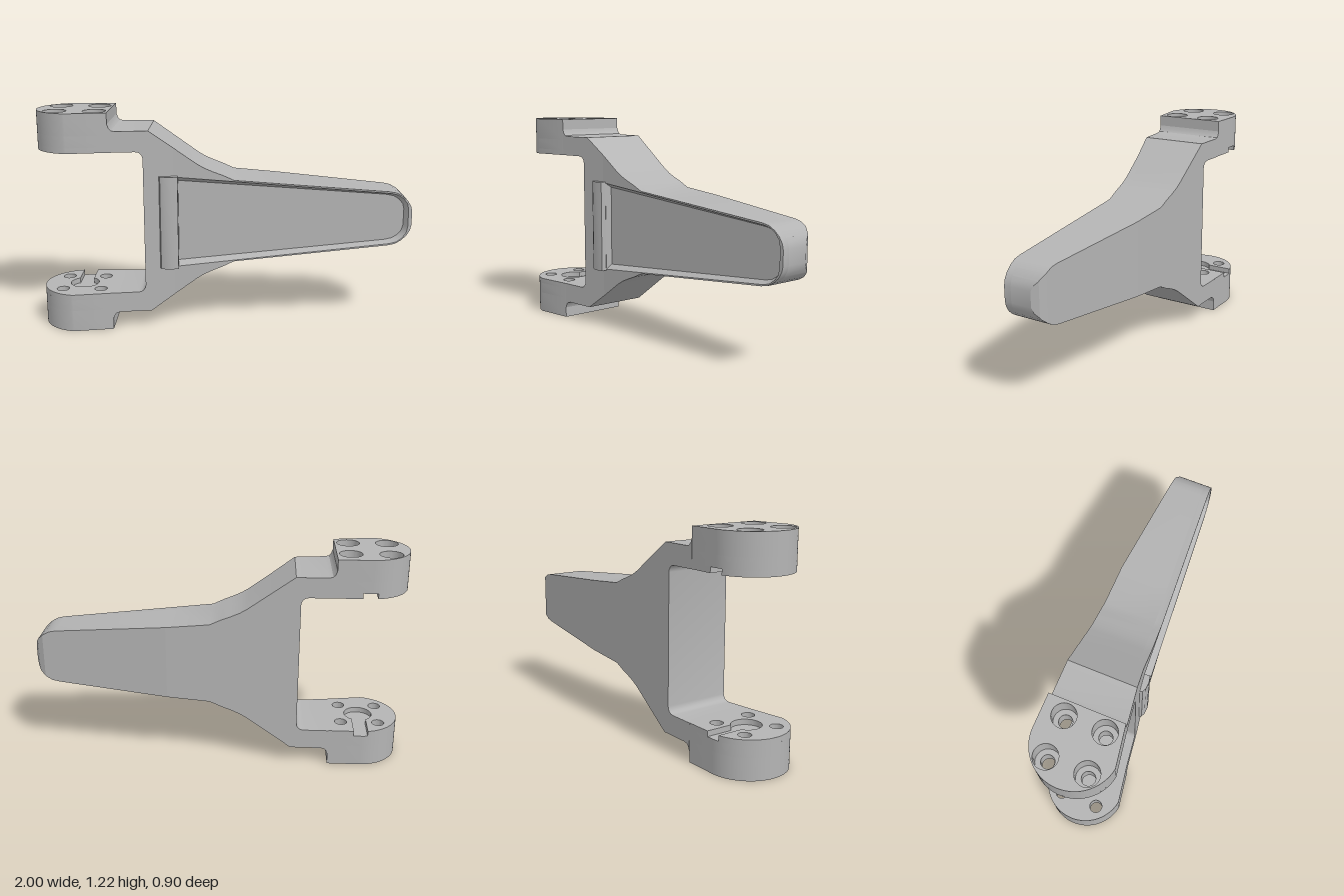
import * as THREE from 'three';
import { toCreasedNormals } from 'three/addons/utils/BufferGeometryUtils.js';

const MID = 0.61; // height of the symmetry plane
const DEPTH = 0.04; // depth of the front pocket
const BEND = -0.284; // station where the front face bends

// Piecewise linear lookup
function lerpTable(points, u) {
  let i = 1;
  while (i < points.length - 1 && u > points[i][0]) i++;
  const [a, b] = [points[i - 1], points[i]];
  return a[1] + (b[1] - a[1]) * (u - a[0]) / (b[0] - a[0]);
}

// Half height, back face and front face along the arm
const HALF = [[-0.416, 0.51], [-0.16, 0.327], [-0.12, 0.303], [-0.07, 0.281], [-0.02, 0.262], [0.045, 0.232],
  [0.91, 0.155], [0.95, 0.147], [0.985, 0.127], [1.015, 0.1], [1.033, 0.07], [1.04, 0.04]];
const BACK = [[-0.7, -0.178], [0.286, -0.178], [0.988, -0.12], [1.02, -0.1], [1.04, -0.065]];
const FRONT = [[-0.63, 0.229], [BEND, 0.183], [1.043, 0.095]];
const back = u => lerpTable(BACK, u);
const front = u => lerpTable(FRONT, u);
const floor = u => front(u) - DEPTH;

const flip = list => list.map(([u, h]) => [u, -h]).reverse();
const toOutline = list => list.map(([u, h]) => new THREE.Vector2(u, MID + h));

// Counterclockwise outline from an upper half, mirrored below the middle plane
const mirrored = upper => toOutline([...upper, ...flip(upper)]).reverse();

// Upper edge of the arm between two stations
function edge(u0, u1) {
  const inner = HALF.filter(([u]) => u > u0 + 1e-6 && u < u1 - 1e-6);
  return [[u0, lerpTable(HALF, u0)], ...inner, [u1, lerpTable(HALF, u1)]];
}

// Extrude an outline, then fit its two faces to the given depth rules
function slab(outline, near, far, hole) {
  const shape = new THREE.Shape(outline);
  if (hole) shape.holes.push(new THREE.Path(hole));
  const geo = new THREE.ExtrudeGeometry(shape, { depth: 1, bevelEnabled: false });
  const p = geo.attributes.position;
  for (let i = 0; i < p.count; i++) {
    let u = p.getX(i), y = p.getY(i);
    const t = p.getZ(i);
    const w = near(u) + t * (far(u) - near(u));
    // Draft of the pocket walls
    if (hole && t < 0.5 && hole.some(q => Math.hypot(q.x - u, q.y - y) < 1e-4)) {
      y = MID + (y - MID) * 0.9;
      if (u > 0) u -= 0.02;
    }
    p.setXYZ(i, u, y, w);
  }
  geo.computeVertexNormals();
  return toCreasedNormals(geo, 0.5);
}

// Plan outline of a mounting pad, optionally with the key slot
const PAD = { u: -0.813, v: -0.046, r: 0.222 };
function padShape(holeRadius, slotted) {
  const s = new THREE.Shape();
  let start = Math.PI / 2;
  s.moveTo(-0.63, -0.229);
  s.lineTo(-0.63, 0.176);
  if (slotted) {
    start += Math.asin(0.04 / PAD.r);
    s.lineTo(PAD.u + 0.04, 0.176);
    s.absarc(PAD.u, PAD.v, 0.08, Math.PI / 3, Math.PI * 2 / 3, true);
  }
  s.absarc(PAD.u, PAD.v, PAD.r, start, Math.PI * 1.45, false);
  s.closePath();
  for (const a of [-1, 1]) for (const b of [-1, 1]) {
    const h = new THREE.Path();
    h.absarc(PAD.u + a * 0.107, PAD.v + b * 0.107, holeRadius, 0, Math.PI * 2, true);
    s.holes.push(h);
  }
  return s;
}

// Extrude a plan shape upwards between two heights
function upright(shape, y0, y1) {
  const geo = new THREE.ExtrudeGeometry(shape, { depth: y1 - y0, bevelEnabled: false, curveSegments: 24 });
  geo.rotateX(-Math.PI / 2).translate(0, y0, 0);
  return toCreasedNormals(geo, 0.5);
}

export function createModel() {
  const grey = new THREE.MeshStandardMaterial({ color: 0xb4b4b4 });
  grey.name = 'plain grey';
  const arm = new THREE.Group();
  arm.name = 'bracketArm';
  const add = (name, geo, parent = arm) => {
    const mesh = new THREE.Mesh(geo, grey);
    mesh.name = name;
    parent.add(mesh);
  };

  // Forked yoke with filleted notch
  const outer = [[-0.63, 0.55], [-0.622, 0.528], [-0.61, 0.515], [-0.59, 0.51], ...edge(-0.416, BEND)];
  const notch = [[-0.447, 0.357], [-0.45, 0.373], [-0.459, 0.386], [-0.471, 0.394], [-0.487, 0.397], [-0.63, 0.397]];
  add('yoke', slab(toOutline([...outer, ...flip(outer), ...flip(notch), ...notch]), back, front));

  // Tapering arm behind the pocket floor, cut where the back face bends
  const stations = [BEND, 0.286, 0.988, 1.02, 1.04];
  for (let i = 0; i < stations.length - 1; i++) {
    add('armSection', slab(mirrored(edge(stations[i], stations[i + 1])), back, floor));
  }

  // Rim around the shallow front pocket
  const pocket = mirrored([[-0.262, 0.253], [0.92, 0.145], [0.96, 0.135], [0.99, 0.114], [1.012, 0.085], [1.02, 0.05]]);
  add('pocketRim', slab(mirrored(edge(BEND, 1.04)), floor, front, pocket));

  // Raised bar at the wide end of the pocket
  const bar = new THREE.Shape([[-0.365, -0.15], [-0.267, -0.13], [-0.261, -0.213], [-0.3, -0.221], [-0.336, -0.218], [-0.357, -0.208], [-0.365, -0.19]]
    .map(([u, v]) => new THREE.Vector2(u, v)));
  add('frontBar', upright(bar, 0.35, 0.87));

  // Mounting pads: slotted inner face, screw holes, counterbores
  for (const side of [1, -1]) {
    const pad = new THREE.Group();
    pad.name = side > 0 ? 'upperPad' : 'lowerPad';
    const layer = (name, shape, a, b) => {
      const ys = [MID + side * a, MID + side * b].sort((p, q) => p - q);
      add(name, upright(shape, ys[0], ys[1]), pad);
    };
    layer('slottedFace', padShape(0.035, true), 0.397, 0.427);
    layer('screwLayer', padShape(0.035, false), 0.427, 0.49);
    layer('counterboreLayer', padShape(0.063, false), 0.49, 0.61);
    arm.add(pad);
  }

  // The arm sweeps forward on its left
  arm.rotation.y = -20 * Math.PI / 180;
  const model = new THREE.Group();
  model.name = 'mountingBracket';
  model.add(arm);
  return model;
}
